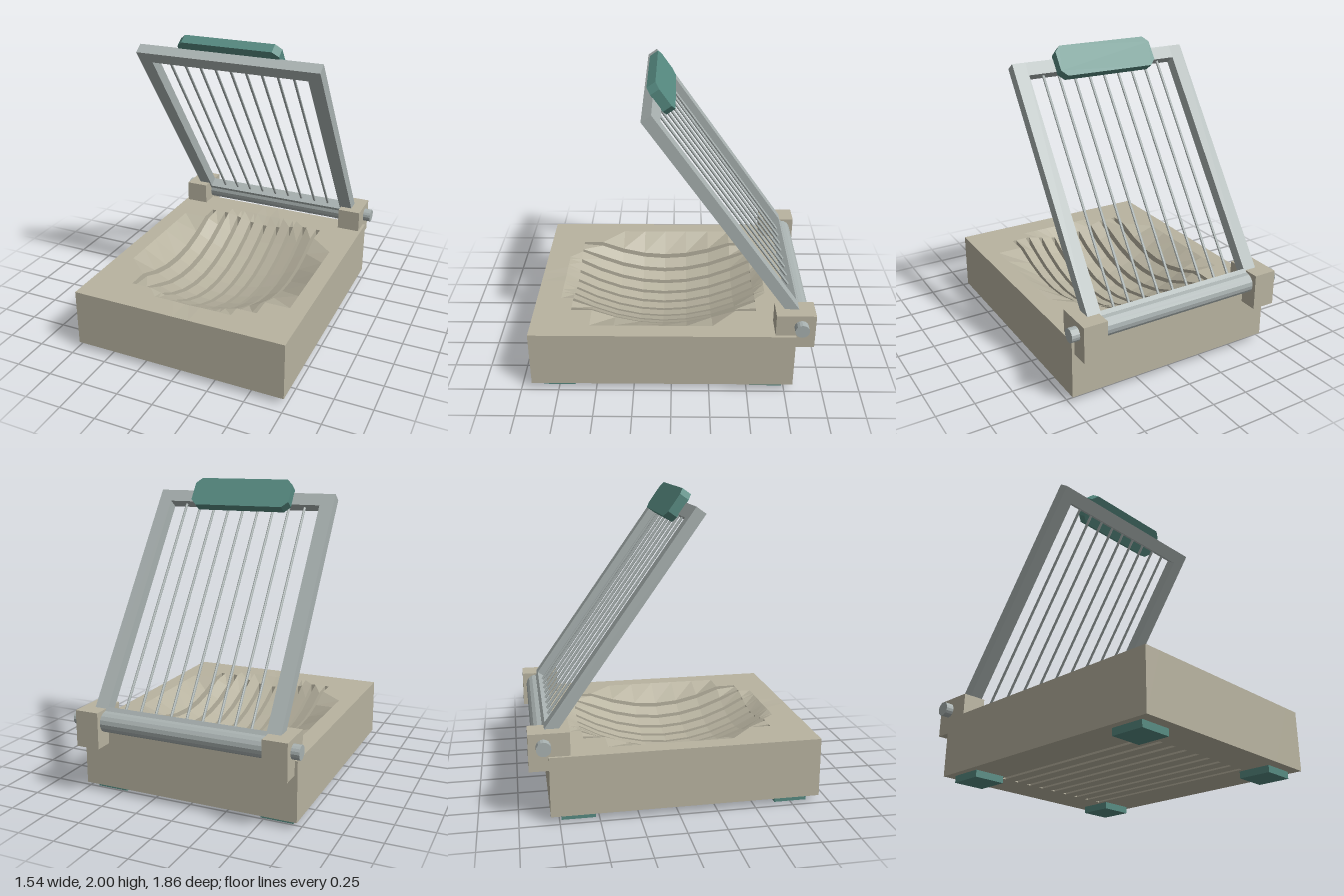
import * as THREE from 'three';

const mat = (color, metalness = 0) =>
  new THREE.MeshStandardMaterial({ color, flatShading: true });
const cream = mat(0xb8b3a0), steel = mat(0xa9b2b1), green = mat(0x568a81);

const WIRES = 9, PITCH = 0.1085, SLOT = 0.015;
const TOP = 0.435, BOTTOM = 0.045;
const wireX = i => (i - (WIRES - 1) / 2) * PITCH;

function add(parent, name, geometry, material, x = 0, y = 0, z = 0) {
  const mesh = new THREE.Mesh(geometry, material);
  mesh.name = name;
  mesh.position.set(x, y, z);
  parent.add(mesh);
  return mesh;
}

function box(parent, name, material, [x0, x1], [y0, y1], [z0, z1]) {
  return add(parent, name, new THREE.BoxGeometry(x1 - x0, y1 - y0, z1 - z0), material,
    (x0 + x1) / 2, (y0 + y1) / 2, (z0 + z1) / 2);
}

// Height of the tray's upper surface: a flat top with a shallow oval bowl
function trayHeight(x, z) {
  const r2 = (x / 0.6) ** 2 + ((z - 0.06) / 0.71) ** 2;
  return TOP - 0.24 * Math.max(0, 1 - r2);
}

// Solid block on a grid; the cells in the slots are left open from top to bottom
function trayGeometry() {
  const xs = [-0.735, -0.62];
  for (let i = 0; i < WIRES; i++) xs.push(wireX(i) - SLOT, wireX(i) + SLOT);
  xs.push(0.62, 0.735);
  const zs = [-0.805, -0.645, -0.57, -0.43, -0.27, -0.1, 0.06, 0.22, 0.38, 0.54, 0.68, 0.765, 0.93];
  const solid = (i, j) => {
    if (i < 0 || j < 0 || i >= xs.length - 1 || j >= zs.length - 1) return false;
    const slotColumn = i >= 2 && i < xs.length - 3 && i % 2 === 0;
    return !(slotColumn && j >= 2 && j < zs.length - 3);
  };
  const pos = [];
  const quad = (a, b, c, d) => pos.push(...a, ...b, ...c, ...a, ...c, ...d);
  const up = (i, j) => [xs[i], trayHeight(xs[i], zs[j]), zs[j]];
  const low = (i, j) => [xs[i], BOTTOM, zs[j]];
  const wall = (i0, j0, i1, j1) => quad(low(i0, j0), low(i1, j1), up(i1, j1), up(i0, j0));
  for (let i = 0; i < xs.length - 1; i++) {
    for (let j = 0; j < zs.length - 1; j++) {
      if (!solid(i, j)) continue;
      quad(up(i, j), up(i, j + 1), up(i + 1, j + 1), up(i + 1, j));
      quad(low(i, j), low(i + 1, j), low(i + 1, j + 1), low(i, j + 1));
      if (!solid(i, j + 1)) wall(i, j + 1, i + 1, j + 1);
      if (!solid(i, j - 1)) wall(i + 1, j, i, j);
      if (!solid(i + 1, j)) wall(i + 1, j + 1, i + 1, j);
      if (!solid(i - 1, j)) wall(i, j, i, j + 1);
    }
  }
  const g = new THREE.BufferGeometry();
  g.setAttribute('position', new THREE.Float32BufferAttribute(pos, 3));
  g.computeVertexNormals();
  return g;
}

// Handle plate with cut corners
function handleGeometry(w, h, depth, cut) {
  const x = w / 2, y = h / 2;
  const shape = new THREE.Shape([
    [-x + cut, -y], [x - cut, -y], [x, -y + cut], [x, y - cut],
    [x - cut, y], [-x + cut, y], [-x, y - cut], [-x, -y + cut],
  ].map(p => new THREE.Vector2(...p)));
  return new THREE.ExtrudeGeometry(shape, { depth, bevelEnabled: false });
}

export function createModel() {
  const model = new THREE.Group();
  model.name = 'eggSlicer';

  // Base
  add(model, 'slottedTray', trayGeometry(), cream);
  for (const s of [-1, 1]) {
    for (const z of [0.752, -0.63])
      add(model, 'foot', new THREE.BoxGeometry(0.215, 0.045, 0.215), green, s * 0.583, 0.0225, z);
    add(model, 'hingeBlock', new THREE.BoxGeometry(0.16, 0.24, 0.255), cream, s * 0.637, 0.465, -0.8);
  }

  // Hinge: thin pin through both blocks, thicker barrel between them
  const pin = add(model, 'hingePin', new THREE.CylinderGeometry(0.046, 0.046, 1.54, 16), steel, 0, 0.505, -0.835);
  const barrel = add(model, 'hingeBarrel', new THREE.CylinderGeometry(0.068, 0.068, 1.12, 16), steel, 0, 0.505, -0.835);
  pin.rotation.z = barrel.rotation.z = Math.PI / 2;

  // Raised cutting frame, built upright from the hinge axis and tilted forward
  const frame = new THREE.Group();
  frame.name = 'cuttingFrame';
  frame.position.set(0, 0.505, -0.835);
  frame.rotation.x = THREE.MathUtils.degToRad(35.2);
  model.add(frame);
  const thick = [-0.0375, 0.0375];
  box(frame, 'frameSideLeft', steel, [0.545, 0.637], [0, 1.7], thick);
  box(frame, 'frameSideRight', steel, [-0.637, -0.545], [0, 1.7], thick);
  box(frame, 'frameTopBar', steel, [-0.545, 0.545], [1.612, 1.7], thick);
  box(frame, 'frameBottomBar', steel, [-0.545, 0.545], [0, 0.085], thick);
  for (let i = 0; i < WIRES; i++)
    add(frame, 'cuttingWire', new THREE.CylinderGeometry(0.009, 0.009, 1.56, 8), steel, wireX(i), 0.85, 0);
  add(frame, 'handle', handleGeometry(0.705, 0.21, 0.067, 0.04), green, 0, 1.657, -0.101);

  return model;
}
